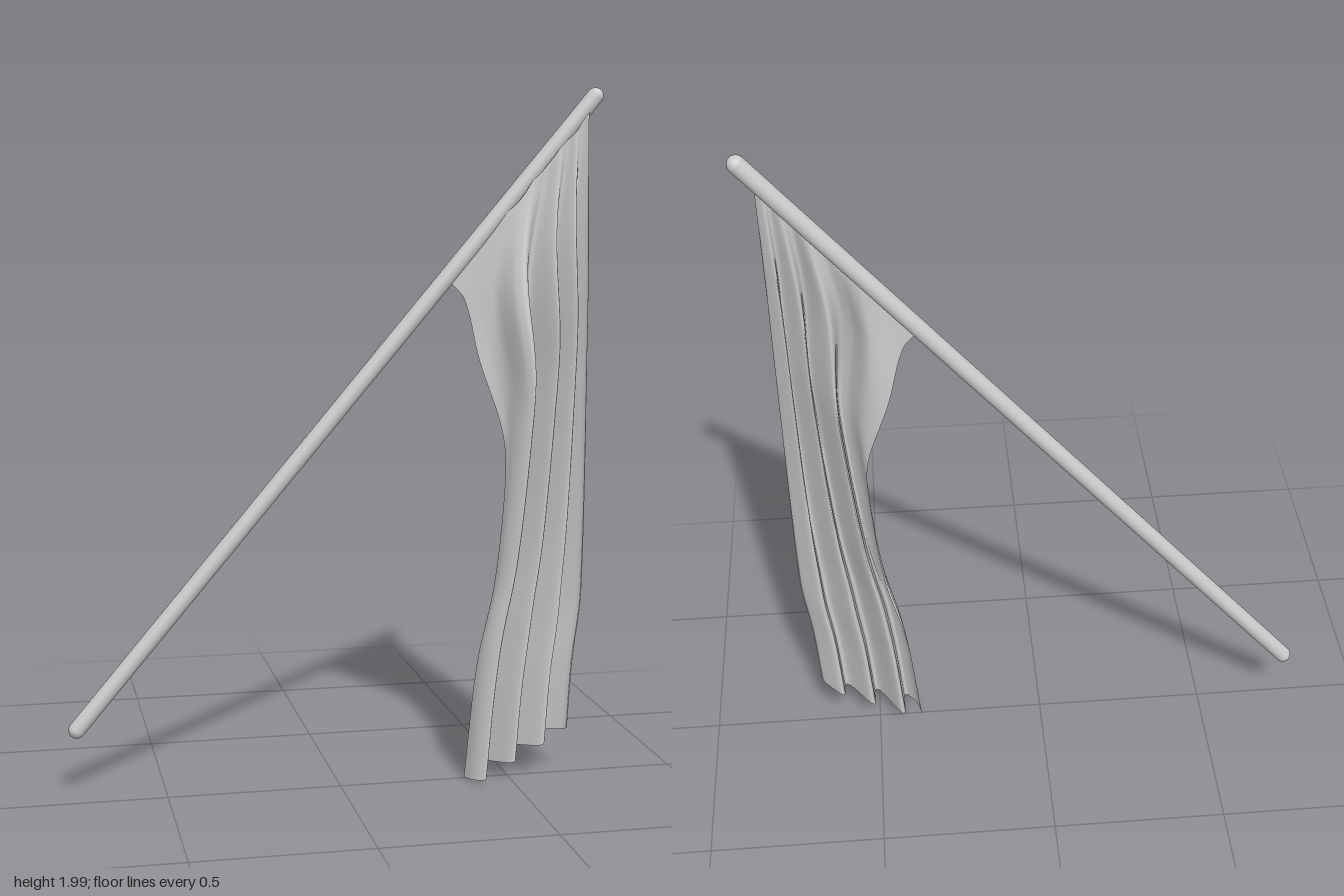
import * as THREE from 'three';

const lerp = THREE.MathUtils.lerp;
const smooth = THREE.MathUtils.smoothstep;

// Smooth curve through [v, x] pairs, read as x at a given v
function track(points) {
  return (v) => {
    let i = 0;
    while (i < points.length - 2 && v > points[i + 1][0]) i++;
    const slope = (k) => {
      const a = points[Math.max(k - 1, 0)], b = points[Math.min(k + 1, points.length - 1)];
      return (b[1] - a[1]) / (b[0] - a[0]);
    };
    const [v0, x0] = points[i], [v1, x1] = points[i + 1];
    const h = v1 - v0, t = (v - v0) / h, t2 = t * t, t3 = t2 * t;
    return (2 * t3 - 3 * t2 + 1) * x0 + (t3 - 2 * t2 + t) * h * slope(i)
      + (3 * t2 - 2 * t3) * x1 + (t3 - t2) * h * slope(i + 1);
  };
}

// Side outlines of the hanging cloth, v = 0 at the pole and 1 at the hem
const leftEdge = track([[0, 0.32], [0.035, 0.365], [0.146, 0.41], [0.3, 0.48],
  [0.42, 0.484], [0.625, 0.455], [0.78, 0.405], [1, 0.37]]);
const rightEdge = track([[0, 0.715], [0.3, 0.712], [0.77, 0.708], [0.886, 0.685], [1, 0.672]]);

// A point of the cloth; u runs from the lower pole corner to the upper one
function clothPoint(u, v) {
  // the folds gather towards the upper corner
  const gather = 0.25 + 0.75 * (1 - Math.pow(1 - v, 2.2));
  const f = Math.pow(u, gather);
  const top = Math.pow(u, 0.25);
  const scallop = 0.012 * Math.abs(Math.sin(top * Math.PI * 5));
  const topY = 1.457 + 0.473 * top - scallop;
  const y = lerp(topY, 0.005 + 0.145 * u, v);

  // pleats: broad rising panels, each overlapping the next
  const theta = (u - 0.17) * 2 * Math.PI / 0.3;
  const open = smooth(v, -0.05, 0.34);
  const inside = smooth(u, 0, 0.08) * (1 - smooth(u, 0.93, 1));
  const x = lerp(leftEdge(v), rightEdge(v), f) - 0.016 * open * inside * Math.sin(theta);

  const drop = smooth(v, -0.03, 0.3);
  const hang = lerp(-0.03 + 0.024 * top * top, lerp(0.017, 0.004, u), drop);
  const depth = lerp(0.056, 0.026, u) * lerp(0.06, 1, open);
  // the free corner stays back, behind the first panel
  const tuck = (1 - smooth(u, 0.015, 0.065)) * Math.exp(-Math.pow((v - 0.2) / 0.13, 2));
  const z = hang - depth * Math.sin(theta) - 0.035 * tuck;
  return [x, y, z];
}

function clothGeometry(cols, rows) {
  const pos = [], index = [];
  for (let j = 0; j <= rows; j++) {
    for (let i = 0; i <= cols; i++) {
      pos.push(...clothPoint(Math.pow(i / cols, 2), Math.pow(j / rows, 1.3)));
    }
  }
  for (let j = 0; j < rows; j++) {
    for (let i = 0; i < cols; i++) {
      const a = j * (cols + 1) + i, b = a + cols + 1;
      index.push(a, b, a + 1, b, b + 1, a + 1);
    }
  }
  const g = new THREE.BufferGeometry();
  g.setAttribute('position', new THREE.Float32BufferAttribute(pos, 3));
  g.setIndex(index);
  g.computeVertexNormals();
  return g;
}

export function createModel() {
  const group = new THREE.Group();
  group.name = 'flagOnPole';

  // Slanted pole with rounded ends
  const low = new THREE.Vector3(-0.75, 0.204, -0.048);
  const high = new THREE.Vector3(0.747, 1.976, -0.048);
  const dir = high.clone().sub(low);
  const pole = new THREE.Mesh(
    new THREE.CapsuleGeometry(0.024, dir.length(), 8, 24),
    new THREE.MeshStandardMaterial({ color: 0xcccccc }));
  pole.name = 'pole';
  pole.position.copy(low).add(high).multiplyScalar(0.5);
  pole.quaternion.setFromUnitVectors(new THREE.Vector3(0, 1, 0), dir.normalize());
  group.add(pole);

  // Draped cloth
  const cloth = new THREE.Mesh(clothGeometry(160, 90),
    new THREE.MeshStandardMaterial({ color: 0xcccccc, side: THREE.DoubleSide }));
  cloth.name = 'flagCloth';
  group.add(cloth);

  return group;
}
